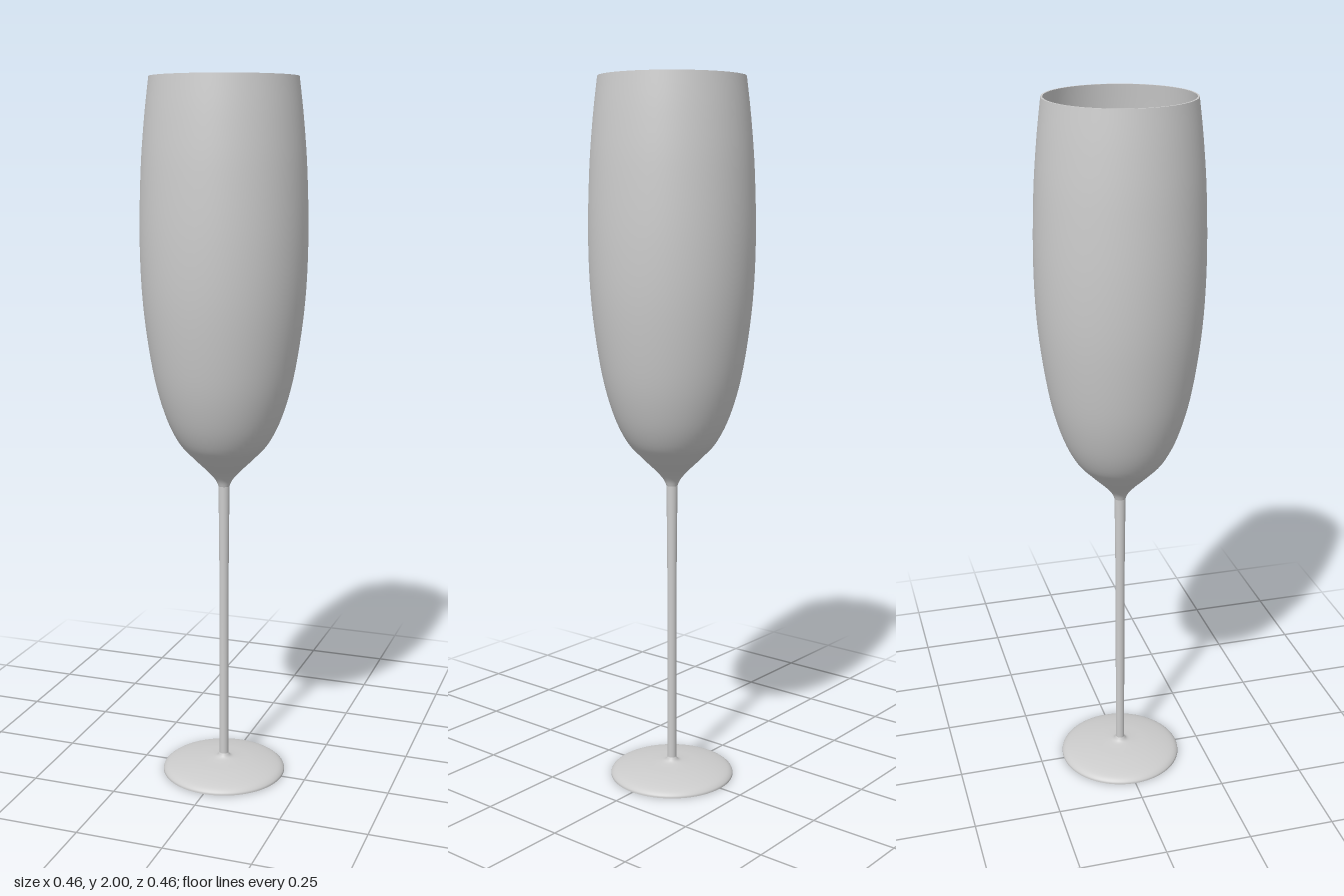
import * as THREE from 'three';

const SEGMENTS = 64;

// Smooth curve through [radius, height] pairs
function smooth(pairs, divisions) {
  const curve = new THREE.SplineCurve(pairs.map(([r, y]) => new THREE.Vector2(r, y)));
  return curve.getPoints(divisions).map((p) => new THREE.Vector2(Math.max(p.x, 0), p.y));
}

export function createModel() {
  const group = new THREE.Group();
  const glass = new THREE.MeshStandardMaterial({ color: 0xcccccc });
  glass.name = 'pale grey glass';

  function turned(name, points) {
    const mesh = new THREE.Mesh(new THREE.LatheGeometry(points, SEGMENTS), glass);
    mesh.name = name;
    group.add(mesh);
  }

  // Foot: gently domed top over a hollow underside
  turned('footTop', smooth([
    [0.18, 0], [0.178, 0.007], [0.165, 0.016], [0.135, 0.024],
    [0.09, 0.031], [0.045, 0.035], [0.022, 0.039], [0.013, 0.05],
  ], 32));
  turned('footUnderside', smooth([
    [0, 0.024], [0.05, 0.021], [0.11, 0.013], [0.16, 0.004], [0.18, 0],
  ], 20));

  // Stem: thin, widening slightly below the bowl
  turned('stem', smooth([
    [0.013, 0.05], [0.013, 0.3], [0.0135, 0.6], [0.015, 0.78], [0.016, 0.87],
  ], 16));

  // Bowl: tall flute with an outer wall, a thin flat rim and an inner wall
  const outer = [
    [0.016, 0.87], [0.024, 0.888], [0.045, 0.913], [0.085, 0.952], [0.128, 1.0],
    [0.166, 1.08], [0.198, 1.2], [0.223, 1.38], [0.231, 1.56],
    [0.226, 1.75], [0.215, 1.89], [0.202, 2.0],
  ];
  const inner = [
    [0.197, 2.0], [0.21, 1.89], [0.221, 1.75], [0.226, 1.56], [0.218, 1.38],
    [0.193, 1.2], [0.16, 1.08], [0.12, 1.005], [0.075, 0.957], [0.035, 0.925], [0, 0.912],
  ];
  turned('bowlOuter', smooth(outer, 56));
  turned('rim', [new THREE.Vector2(0.202, 2), new THREE.Vector2(0.197, 2)]);
  turned('bowlInner', smooth(inner, 52));

  return group;
}
